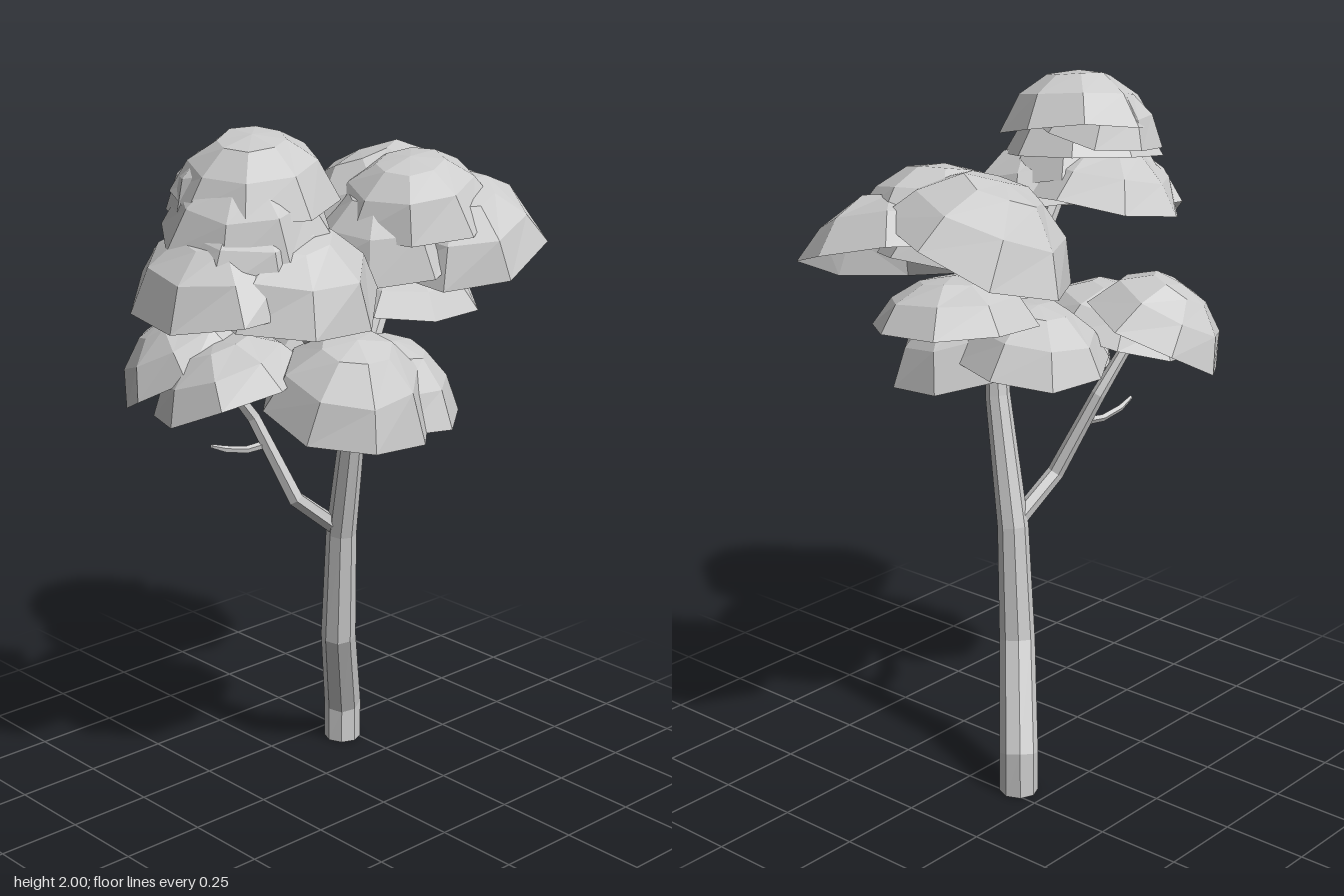
import * as THREE from 'three';

const bark = new THREE.MeshStandardMaterial({ color: 0xcccccc, flatShading: true });
const foliage = new THREE.MeshStandardMaterial({ color: 0xcccccc, flatShading: true, side: THREE.DoubleSide });
const UP = new THREE.Vector3(0, 1, 0);

function seeded(seed) {
  let s = seed * 7919 + 17;
  return () => ((s = (s * 16807) % 2147483647) / 2147483647);
}

// Tapered limb through points [x, y, z, radius], closed at both ends
function limb(name, stops, sides = 8) {
  const p = stops.map(s => new THREE.Vector3(s[0], s[1], s[2]));
  const pos = [], index = [], last = p.length - 1;
  p.forEach((c, i) => {
    const tangent = p[Math.min(i + 1, last)].clone().sub(p[Math.max(i - 1, 0)]).normalize();
    // the ground cut stays level
    if (p[i].y === 0) tangent.copy(UP);
    const q = new THREE.Quaternion().setFromUnitVectors(UP, tangent);
    for (let k = 0; k < sides; k++) {
      const a = (k / sides) * Math.PI * 2;
      const v = new THREE.Vector3(Math.cos(a), 0, Math.sin(a)).multiplyScalar(stops[i][3]);
      pos.push(...v.applyQuaternion(q).add(c).toArray());
    }
  });
  for (let i = 0; i < last; i++) {
    for (let k = 0; k < sides; k++) {
      const a = i * sides + k, b = i * sides + (k + 1) % sides;
      index.push(a, a + sides, b, b, a + sides, b + sides);
    }
  }
  for (let k = 1; k < sides - 1; k++) {
    const t = last * sides;
    index.push(0, k, k + 1, t, t + k + 1, t + k);
  }
  const g = new THREE.BufferGeometry();
  g.setAttribute('position', new THREE.Float32BufferAttribute(pos, 3));
  g.setIndex(index);
  g.computeVertexNormals();
  const mesh = new THREE.Mesh(g, bark);
  mesh.name = name;
  return mesh;
}

// Open faceted dome with a flared, ragged rim; (x, y, z) is the rim centre, (ax, az) the lean
function dome([x, y, z, r, h, ax, az], seed) {
  const sides = 8, rand = seeded(seed);
  const profile = [[0, 1], [0.42, 0.92], [0.78, 0.57], [1.03, 0]];
  const g = new THREE.LatheGeometry(profile.map(([u, v]) => new THREE.Vector2(u * r, v * h)), sides);
  const rows = profile.length, pos = g.attributes.position;
  const jitter = Array.from({ length: sides * rows }, () => [rand() - 0.5, rand() - 0.5]);
  for (let i = 0; i < pos.count; i++) {
    const row = i % rows, col = Math.floor(i / rows) % sides;
    if (row === 0) continue;
    const [a, b] = jitter[col * rows + row];
    const spread = 1 + a * 0.06;
    const drop = b * h * (row === 3 ? 0.18 : 0.06);
    pos.setXYZ(i, pos.getX(i) * spread, pos.getY(i) + drop, pos.getZ(i) * spread);
  }
  g.rotateY(rand() * Math.PI);
  g.computeVertexNormals();
  const mesh = new THREE.Mesh(g, foliage);
  mesh.quaternion.setFromUnitVectors(UP, new THREE.Vector3(ax, 1, az).normalize());
  mesh.position.set(x, y, z);
  return mesh;
}

export function createModel() {
  const tree = new THREE.Group();
  tree.name = 'tree';

  // Trunk and main branches
  tree.add(
    limb('trunk', [[0.217, 0, -0.162, 0.056], [0.217, 0.12, -0.162, 0.056], [0.103, 0.41, -0.058, 0.052],
      [0.085, 0.75, -0.027, 0.045], [0.05, 1.12, 0.06, 0.036], [0.035, 1.28, 0.08, 0.03]]),
    limb('leftBranch', [[0.035, 1.25, 0.08, 0.028], [-0.06, 1.33, 0.08, 0.026], [-0.14, 1.41, 0.08, 0.025],
      [-0.2, 1.57, 0.09, 0.023], [-0.29, 1.7, 0.09, 0.018], [-0.34, 1.88, 0.09, 0.01]], 6),
    limb('rightBranch', [[0.035, 1.25, 0.08, 0.026], [0.12, 1.32, 0.05, 0.025], [0.21, 1.42, 0.01, 0.023],
      [0.26, 1.58, -0.02, 0.02], [0.34, 1.74, -0.04, 0.01]], 6),
    limb('backBranch', [[0.08, 0.76, -0.03, 0.026], [-0.065, 0.88, -0.06, 0.025],
      [-0.14, 1.12, -0.155, 0.021], [-0.25, 1.29, -0.2, 0.016], [-0.32, 1.37, -0.23, 0.009]], 6));

  // Thin twigs
  [
    [[-0.12, 1.04, -0.13, 0.012], [-0.18, 1.035, -0.14, 0.011], [-0.25, 1.05, -0.15, 0.01], [-0.3, 1.07, -0.15, 0.006]],
    [[-0.17, 1.17, -0.17, 0.012], [-0.25, 1.24, -0.09, 0.01], [-0.32, 1.3, -0.07, 0.006]],
    [[0.04, 1.22, 0.075, 0.014], [-0.03, 1.28, 0.14, 0.012], [-0.08, 1.34, 0.2, 0.007]],
    [[-0.24, 1.63, 0.09, 0.014], [-0.36, 1.65, 0.1, 0.012], [-0.47, 1.7, 0.1, 0.007]],
    [[0.24, 1.52, -0.01, 0.014], [0.35, 1.6, 0.02, 0.012], [0.42, 1.7, 0.06, 0.007]],
    [[0.26, 1.58, -0.02, 0.014], [0.31, 1.66, -0.11, 0.012], [0.36, 1.75, -0.18, 0.007]],
  ].forEach(t => tree.add(limb('twig', t, 5)));

  // Foliage clusters of overlapping domes: x, y, z, radius, height, lean x, lean z
  const clusters = {
    upperLeftFoliage: [
      [-0.33, 1.83, 0.08, 0.22, 0.165, -0.14, 0.13],
      [-0.35, 1.82, 0.03, 0.185, 0.145, -0.12, -0.18],
      [-0.37, 1.74, 0.1, 0.225, 0.18, -0.18, 0.15],
      [-0.38, 1.67, 0.11, 0.235, 0.18, -0.15, 0.2],
      [-0.32, 1.585, 0.19, 0.255, 0.19, -0.07, 0.3],
      [-0.45, 1.59, 0.1, 0.25, 0.18, -0.2, 0.1],
      [-0.35, 1.62, 0.02, 0.25, 0.17, -0.18, -0.08],
    ],
    upperRightFoliage: [
      [0.37, 1.63, -0.15, 0.265, 0.21, -0.22, -0.33],
      [0.34, 1.68, 0.0, 0.23, 0.165, -0.22, 0.12],
      [0.45, 1.59, 0.06, 0.255, 0.185, -0.28, 0.3],
      [0.28, 1.57, -0.04, 0.24, 0.19, -0.22, 0.08],
      [0.33, 1.415, -0.04, 0.225, 0.13, -0.03, 0.1],
    ],
    lowerFoliage: [
      [-0.08, 1.2, 0.17, 0.24, 0.23, -0.08, 0.28],
      [0.07, 1.18, 0.15, 0.225, 0.2, 0.08, 0.2],
      [0.03, 1.24, -0.05, 0.22, 0.17, 0, -0.15],
    ],
    lowerBackFoliage: [
      [-0.3, 1.28, -0.23, 0.215, 0.165, -0.36, -0.4],
      [-0.29, 1.25, -0.07, 0.225, 0.15, -0.25, -0.22],
    ],
  };
  let seed = 1;
  for (const [name, domes] of Object.entries(clusters)) {
    const group = new THREE.Group();
    group.name = name;
    domes.forEach(d => {
      const m = dome(d, seed++);
      m.name = 'leafDome';
      group.add(m);
    });
    tree.add(group);
  }
  return tree;
}
